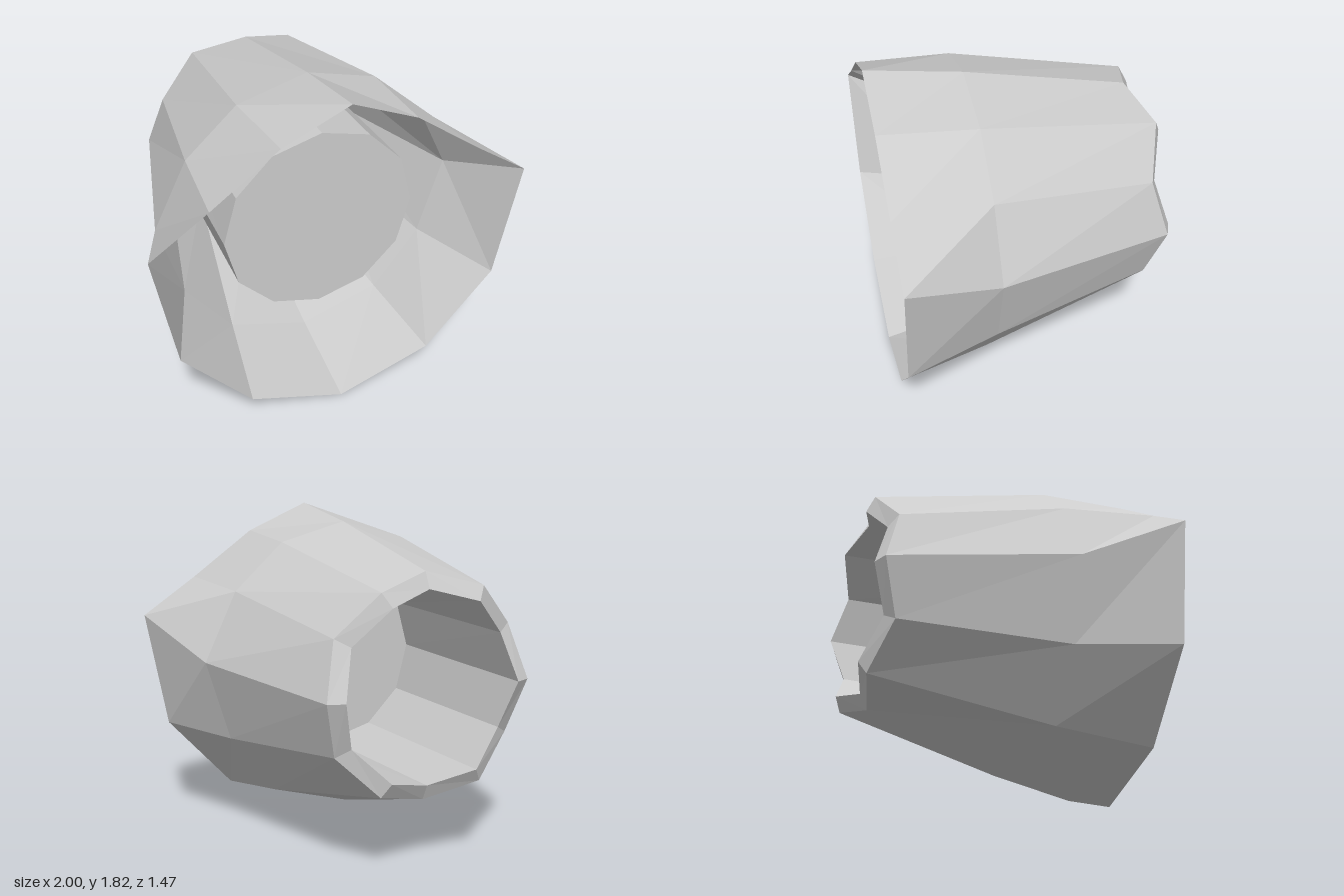
import * as THREE from 'three';

const SIDES = 12, CY = 0.965;
const material = new THREE.MeshStandardMaterial({ color: 0xcccccc, flatShading: true, side: THREE.DoubleSide });

// Mirrors a half outline (top to bottom on +x) into a closed ring at depth z
function mirroredRing(half, z) {
  const left = half.slice(1, -1).reverse().map(([x, y]) => [-x, y]);
  return [...half, ...left].map(([x, y]) => new THREE.Vector3(x, y, z));
}

// Regular ring, starting at the top; odd corners may sit at another depth
function roundRing(radius, zEven, zOdd = zEven) {
  return Array.from({ length: SIDES }, (_, i) => {
    const a = (i / SIDES) * Math.PI * 2;
    return new THREE.Vector3(radius * Math.sin(a), CY + radius * Math.cos(a), i % 2 ? zOdd : zEven);
  });
}

// Skins consecutive rings (front to back gives outward faces)
function loft(name, rings) {
  const points = rings.flat();
  const index = [];
  for (let r = 0; r < rings.length - 1; r++) {
    for (let i = 0; i < SIDES; i++) {
      const a = r * SIDES + i, b = r * SIDES + (i + 1) % SIDES;
      index.push(a, a + SIDES, b, b, a + SIDES, b + SIDES);
    }
  }
  const indexed = new THREE.BufferGeometry().setFromPoints(points);
  indexed.setIndex(index);
  const geometry = indexed.toNonIndexed();
  geometry.computeVertexNormals();
  const mesh = new THREE.Mesh(geometry, material);
  mesh.name = name;
  return mesh;
}

export function createModel() {
  const group = new THREE.Group();
  group.name = 'flaredNozzle';

  // Flared mouth, middle and serrated back of the shell
  const mouth = mirroredRing([[0, 1.82], [0.35, 1.67], [0.7, 1.42], [1, 1.22], [0.885, 0.585], [0.515, 0.17], [0, 0]], 0.735);
  const middle = mirroredRing([[0, 1.74], [0.375, 1.64], [0.65, 1.39], [0.83, 1.02], [0.7, 0.585], [0.44, 0.25], [0, 0.115]], 0.237);
  const backOuter = roundRing(0.585, -0.62, -0.7);
  const backInner = roundRing(0.5, -0.66, -0.735);
  group.add(loft('outerShell', [mouth, middle, backOuter]));

  // Zigzag lip joining the shell to the inner tube
  group.add(loft('rearLip', [backOuter, backInner]));

  // Tube running forward from the lip, closed by a flat plate
  const plateZ = 0.42, plateRadius = 0.53;
  group.add(loft('innerTube', [backInner, roundRing(plateRadius, plateZ)]));
  const plate = new THREE.Mesh(new THREE.CircleGeometry(plateRadius, SIDES), material);
  plate.name = 'frontPlate';
  plate.position.set(0, CY, plateZ);
  group.add(plate);

  return group;
}
